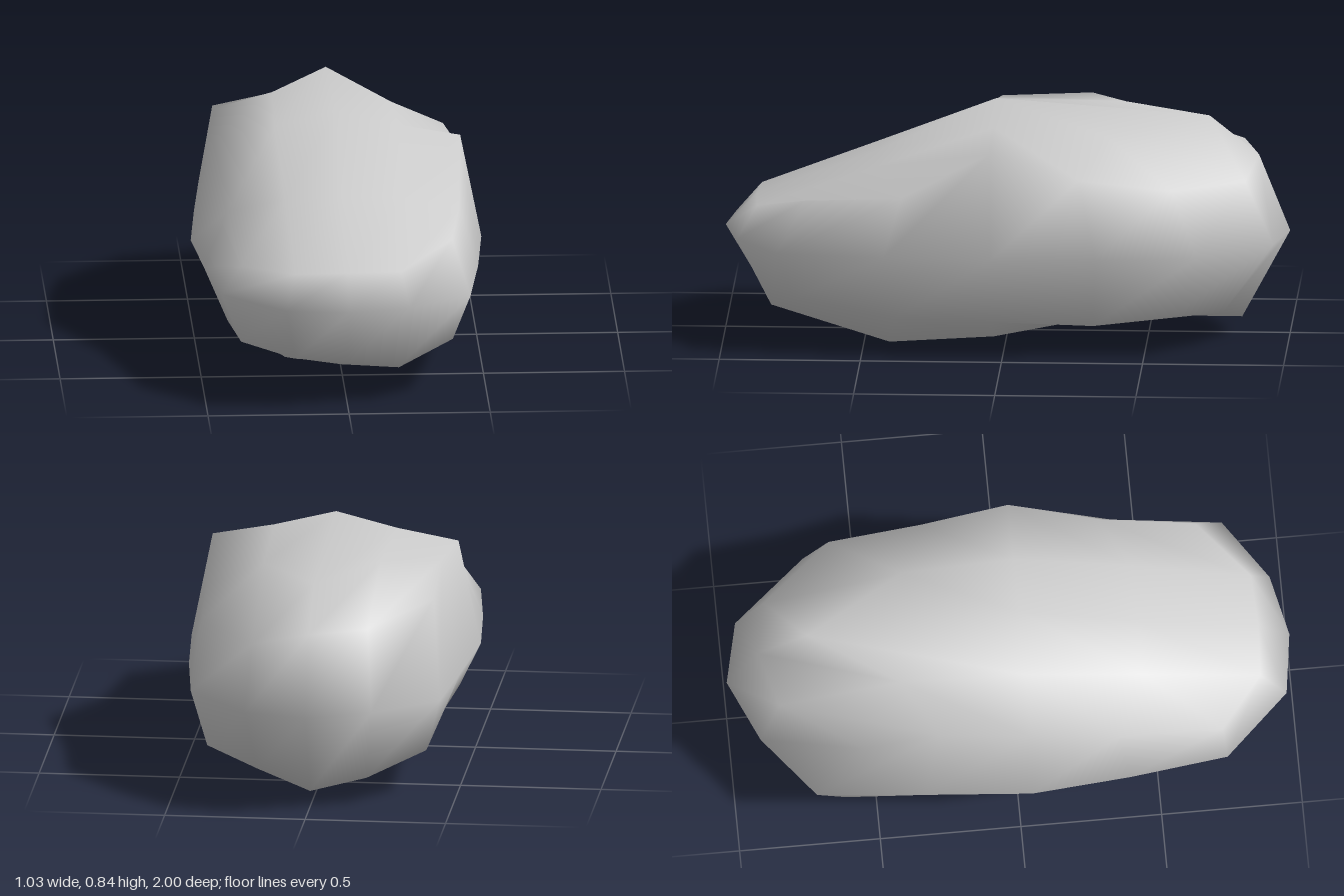
import * as THREE from 'three';
import { mergeVertices } from 'three/addons/utils/BufferGeometryUtils.js';

const MIDDLE_ROW = Array(5).fill(0.04);

// Each layer is a sheet of 5 rows (front to back) and 5 columns (-x to +x).
// minX / plusX: half widths of each row; z and y: position per row and column.
const LAYERS = {
  bottom: {
    minX: [0.37, 0.4, 0.44, 0.41, 0.39],
    plusX: [0.38, 0.41, 0.44, 0.4, 0.39],
    z: [
      [0.74, 0.88, 0.87, 0.83, 0.74],
      [0.36, 0.42, 0.42, 0.41, 0.38],
      MIDDLE_ROW,
      [-0.24, -0.38, -0.4, -0.38, -0.32],
      [-0.61, -0.78, -0.83, -0.77, -0.61],
    ],
    y: [
      [0.2, 0.175, 0.155, 0.13, 0.2],
      [0.17, 0.05, 0.02, 0.003, 0.14],
      [0.22, 0.05, 0.01, 0.03, 0.135],
      [0.2, 0.12, 0.1, 0.11, 0.115],
      [0.16, 0.1, 0.06, 0.12, 0.155],
    ],
  },
  middle: {
    minX: [0.44, 0.485, 0.515, 0.485, 0.45],
    plusX: [0.44, 0.485, 0.515, 0.485, 0.44],
    z: [
      [0.74, 0.97, 1, 0.95, 0.8],
      [0.39, 0.5, 0.52, 0.5, 0.42],
      MIDDLE_ROW,
      [-0.34, -0.43, -0.48, -0.45, -0.33],
      [-0.72, -0.9, -1, -0.95, -0.69],
    ],
    y: Array(5).fill(Array(5).fill(0.375)),
  },
  top: {
    minX: [0.37, 0.4, 0.435, 0.41, 0.41],
    plusX: [0.38, 0.42, 0.44, 0.43, 0.41],
    z: [
      [0.73, 0.88, 0.89, 0.88, 0.7],
      [0.36, 0.46, 0.46, 0.46, 0.36],
      MIDDLE_ROW,
      [-0.28, -0.4, -0.715, -0.36, -0.27],
      [-0.55, -0.83, -0.89, -0.85, -0.6],
    ],
    y: [
      [0.475, 0.485, 0.49, 0.49, 0.555],
      [0.57, 0.64, 0.65, 0.64, 0.575],
      [0.75, 0.79, 0.845, 0.79, 0.75],
      [0.77, 0.79, 0.79, 0.76, 0.65],
      [0.7, 0.66, 0.65, 0.6, 0.61],
    ],
  },
};

export function createModel() {
  // A coarse box, its grid points moved onto the layers, then shaded smoothly
  const box = new THREE.BoxGeometry(4, 2, 4, 4, 2, 4);
  box.deleteAttribute('normal');
  box.deleteAttribute('uv');
  const geometry = mergeVertices(box);
  const pos = geometry.attributes.position;
  const sheets = [LAYERS.bottom, LAYERS.middle, LAYERS.top];
  for (let n = 0; n < pos.count; n++) {
    const col = Math.round(pos.getX(n) + 2);
    const row = Math.round(2 - pos.getZ(n));
    const layer = sheets[Math.round(pos.getY(n) + 1)];
    const halfWidth = col < 2 ? layer.minX[row] : layer.plusX[row];
    pos.setXYZ(n, halfWidth * (col - 2) / 2, layer.y[row][col], layer.z[row][col]);
  }
  geometry.computeVertexNormals();

  const body = new THREE.Mesh(geometry, new THREE.MeshStandardMaterial({ color: 0xcccccc }));
  body.name = 'body';
  const group = new THREE.Group();
  group.name = 'roundedLump';
  group.add(body);
  return group;
}
